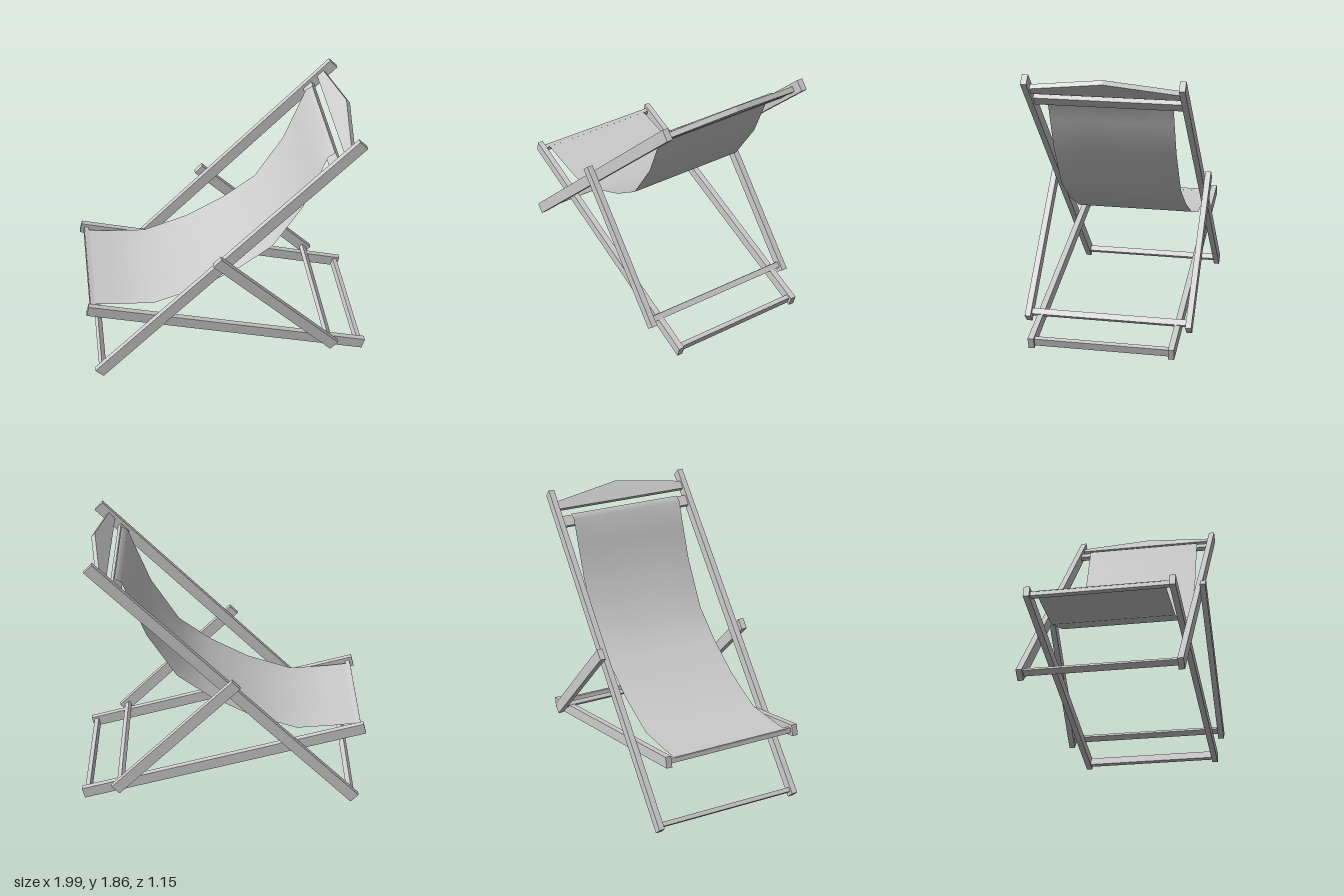
import * as THREE from 'three';

const material = new THREE.MeshStandardMaterial({ color: 0xcccccc });
const clothMaterial = new THREE.MeshStandardMaterial({ color: 0xcccccc, side: THREE.DoubleSide });

// Side profile lines of the three folding frames, as [x, y] ends
const BACK = [[-0.937, 0.033], [0.872, 1.84]];
const SEAT = [[-0.987, 0.59], [0.987, 0.06]];
const PROP = [[-0.092, 0.987], [0.752, 0.14]];

const slope = ([[x0, y0], [x1, y1]]) => Math.atan2(y1 - y0, x1 - x0);

// Mirrored pair of rails along a profile line, at distance z from the middle
function railPair(name, line, z, width = 0.078, depth = 0.04) {
  const [[x0, y0], [x1, y1]] = line;
  const pair = new THREE.Group();
  pair.name = name;
  const geometry = new THREE.BoxGeometry(Math.hypot(x1 - x0, y1 - y0), width, depth);
  for (const side of [1, -1]) {
    const rail = new THREE.Mesh(geometry, material);
    rail.name = name + (side > 0 ? 'Front' : 'Back');
    rail.position.set((x0 + x1) / 2, (y0 + y1) / 2, side * z);
    rail.rotation.z = slope(line);
    pair.add(rail);
  }
  return pair;
}

// Bar across the chair, turned to match the frame it joins
function crossbar(name, line, x, y, along, thick, length) {
  const bar = new THREE.Mesh(new THREE.BoxGeometry(along, thick, length), material);
  bar.name = name;
  bar.position.set(x, y, 0);
  bar.rotation.z = slope(line);
  return bar;
}

// Peaked board between the tops of the back rails
function headboard() {
  const half = 0.495, low = 0.06, peak = 0.148, thick = 0.036;
  const shape = new THREE.Shape();
  shape.moveTo(-half, 0);
  shape.lineTo(half, 0);
  shape.lineTo(half, low);
  shape.lineTo(0, peak);
  shape.lineTo(-half, low);
  shape.closePath();
  const geometry = new THREE.ExtrudeGeometry(shape, { depth: thick, bevelEnabled: false });
  geometry.translate(0, 0, -thick / 2);
  const a = slope(BACK);
  geometry.applyMatrix4(new THREE.Matrix4().makeBasis(
    new THREE.Vector3(0, 0, 1),
    new THREE.Vector3(Math.cos(a), Math.sin(a), 0),
    new THREE.Vector3(-Math.sin(a), Math.cos(a), 0)));
  const board = new THREE.Mesh(geometry, material);
  board.name = 'headboard';
  board.position.set(0.77, 1.738, 0);
  return board;
}

// Sagging cloth: a strip swept across the chair from a side profile
function sling() {
  const profile = [[-0.965, 0.595], [-0.8, 0.575], [-0.52, 0.555], [-0.2, 0.66], [0.08, 0.81],
    [0.31, 0.98], [0.51, 1.295], [0.595, 1.51], [0.665, 1.69], [0.71, 1.718]];
  const geometry = new THREE.PlaneGeometry(1, 1, profile.length - 1, 4);
  const pos = geometry.attributes.position;
  for (let i = 0; i < pos.count; i++) {
    const [x, y] = profile[i % profile.length];
    pos.setXYZ(i, x, y, -pos.getY(i) * 0.84);
  }
  geometry.computeVertexNormals();
  const cloth = new THREE.Mesh(geometry, clothMaterial);
  cloth.name = 'sling';
  return cloth;
}

export function createModel() {
  const model = new THREE.Group();
  model.name = 'deckChair';
  model.add(
    // Folding frames
    railPair('backRail', BACK, 0.514),
    railPair('seatRail', SEAT, 0.475),
    railPair('propLeg', PROP, 0.554),
    // Bars joining each frame
    crossbar('slingTopBar', BACK, 0.7, 1.67, 0.078, 0.031, 0.99),
    crossbar('backFootBar', BACK, -0.91, 0.06, 0.03, 0.042, 0.99),
    crossbar('slingFrontBar', SEAT, -0.95, 0.578, 0.032, 0.036, 0.92),
    crossbar('seatFootBar', SEAT, 0.952, 0.066, 0.032, 0.053, 0.92),
    crossbar('propBar', PROP, 0.717, 0.175, 0.042, 0.031, 1.07),
    headboard(),
    sling());
  return model;
}
